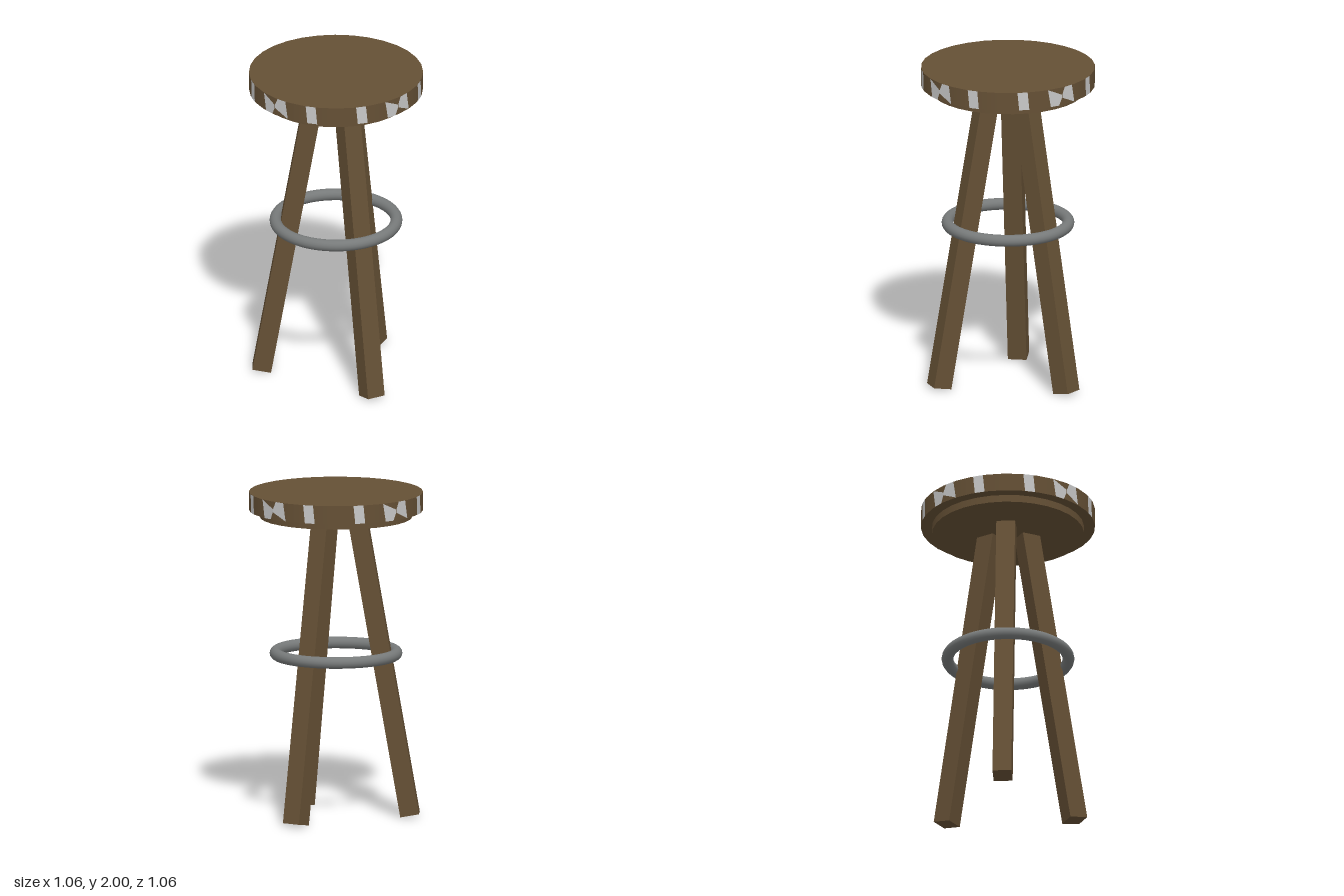
import * as THREE from 'three';

export function createModel() {
  const wood = new THREE.MeshStandardMaterial({ name: 'brown wood', color: 0x655035 });
  const steel = new THREE.MeshStandardMaterial({ name: 'grey steel', color: 0x777a7a });
  const silver = new THREE.MeshStandardMaterial({ name: 'light silver', color: 0xc8c8c8 });

  const stool = new THREE.Group();
  stool.name = 'barStool';
  const add = (parent, name, geometry, material, y = 0) => {
    const mesh = new THREE.Mesh(geometry, material);
    mesh.name = name;
    mesh.position.y = y;
    parent.add(mesh);
    return mesh;
  };

  // Round wooden seat wrapped closely around a silver disc, on a smaller support disc
  const R = 0.53, H = 0.112, SIDES = 32, SEAT_Y = 2 - H / 2;
  add(stool, 'seat', new THREE.CylinderGeometry(R, R, H, SIDES), wood, SEAT_Y);
  add(stool, 'seatDisc', new THREE.CylinderGeometry(R - 0.003, R - 0.003, H - 0.006, SIDES), silver, SEAT_Y);
  add(stool, 'seatSupport', new THREE.CylinderGeometry(0.463, 0.463, 0.05, SIDES), wood, 1.868);

  // Thin silver inlays lying on the flat facets of the seat edge
  const facet = (2 * Math.PI) / SIDES;
  const inlayGeometry = (points) =>
    new THREE.ShapeGeometry(new THREE.Shape(points.map(([x, y]) => new THREE.Vector2(x, y))));
  const t = H / 2;
  const stripe = inlayGeometry([[-0.026, -t], [0.037, -t], [0.026, t], [-0.037, t]]);
  const wedgeLeft = inlayGeometry([[-0.03, -t], [0.03, -t], [0.051, -0.01], [0.051, 0.01], [-0.05, t]]);
  const wedgeRight = inlayGeometry([[-0.051, -0.01], [0.05, -t], [0.03, t], [-0.03, t], [-0.051, 0.01]]);
  const inlays = [[-0.5, wedgeLeft], [0.5, wedgeRight], [2.5, stripe], [5.5, stripe]];
  for (let quarter = 0; quarter < 4; quarter++) {
    for (const [index, geometry] of inlays) {
      const angle = (index + quarter * 8) * facet;
      const d = R * Math.cos(facet / 2) + 0.0015;
      const inlay = add(stool, 'edgeInlay', geometry, silver);
      inlay.position.set(d * Math.sin(angle), SEAT_Y, d * Math.cos(angle));
      inlay.rotation.y = angle;
    }
  }

  // Three square legs splayed outwards
  const side = 0.115, tilt = THREE.MathUtils.degToRad(9.9);
  const length = 1.875;
  const legGeometry = new THREE.BoxGeometry(side, length, side);
  legGeometry.translate(0, length / 2, 0);
  for (let i = 0; i < 3; i++) {
    const pivot = new THREE.Group();
    pivot.name = 'legPivot';
    pivot.rotation.y = -THREE.MathUtils.degToRad(16.5 + i * 120);
    const leg = add(pivot, 'leg', legGeometry, wood, 0.5 * side * Math.sin(tilt));
    leg.position.x = 0.451;
    leg.rotation.z = tilt;
    stool.add(pivot);
  }

  // Footrest ring
  const ring = add(stool, 'footRing', new THREE.TorusGeometry(0.368, 0.036, 16, 64), steel, 1.004);
  ring.rotation.x = Math.PI / 2;

  return stool;
}
